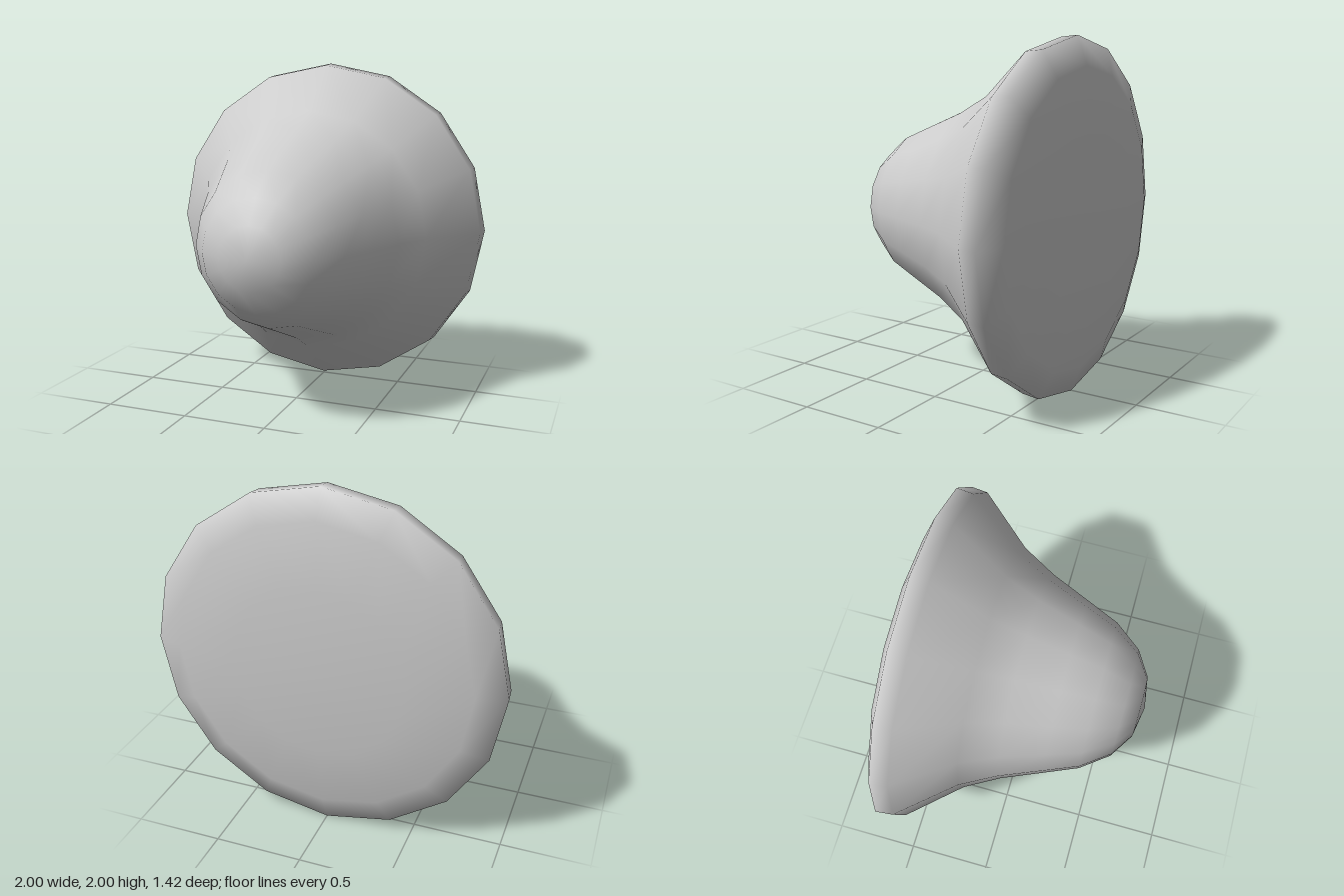
import * as THREE from 'three';
import { mergeVertices } from 'three/addons/utils/BufferGeometryUtils.js';

export function createModel() {
  const group = new THREE.Group();
  const grey = new THREE.MeshStandardMaterial({ color: 0xcccccc });
  grey.name = 'light grey';

  // Bell profile (radius, height along the axis), from the base to the rounded tip
  const profile = [
    [0, -0.71], [0.49, -0.7], [0.84, -0.66], [1, -0.6], [0.99, -0.5], [0.73, -0.2],
    [0.62, 0], [0.52, 0.24], [0.44, 0.43], [0.32, 0.59], [0.18, 0.68], [0, 0.71],
  ].map(([r, h]) => new THREE.Vector2(r, h));

  // Weld the seam and poles so the shading is smooth all over
  let geometry = new THREE.LatheGeometry(profile, 16);
  geometry.deleteAttribute('uv');
  geometry.deleteAttribute('normal');
  geometry = mergeVertices(geometry, 1e-4);
  geometry.rotateX(Math.PI / 2); // tip faces forward
  geometry.computeVertexNormals();

  const bell = new THREE.Mesh(geometry, grey);
  bell.name = 'bellBody';
  bell.position.y = 1;
  group.add(bell);
  return group;
}
